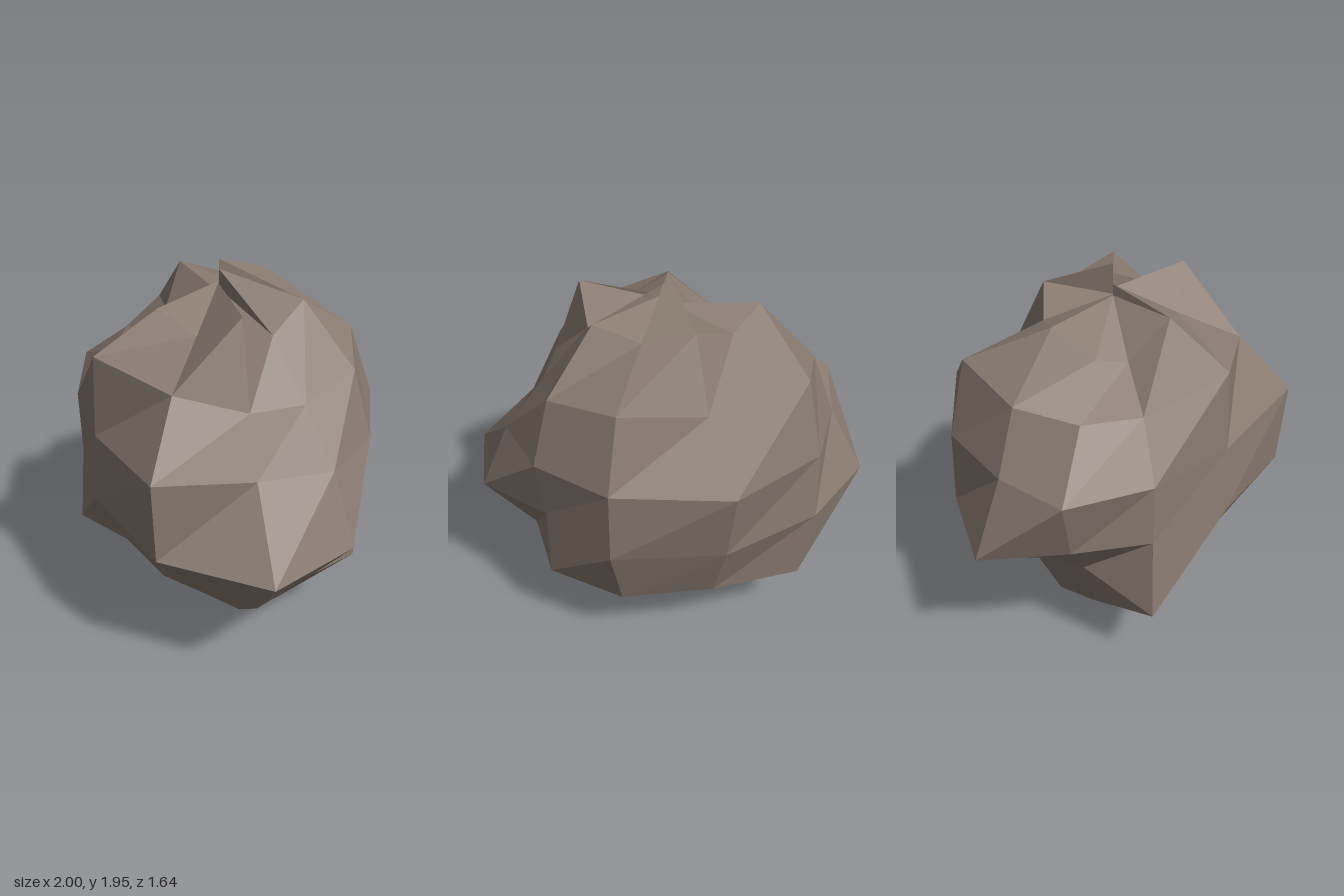
import * as THREE from 'three';

// Radius of each corner, ring by ring from top to bottom; columns run from +x round the back.
// The pole rows keep a separate corner per column, which gives the jagged, stepped tips.
const RADII = [
  [0.95, 1.07, 1.0, 1.13, 0.94, 0.93, 0.93, 0.93, 0.93, 1.0, 0.98],
  [0.91, 1.08, 1.0, 1.07, 0.95, 1.045, 0.81, 0.75, 1.01, 0.9, 1.11],
  [0.81, 0.97, 1.07, 0.87, 1.13, 0.95, 0.82, 0.81, 1.13, 1.015, 0.82],
  [0.86, 0.89, 1.02, 1.16, 1.01, 0.885, 0.99, 0.89, 0.93, 1.17, 0.82],
  [1.015, 0.84, 1.03, 1.04, 1.02, 1.08, 0.865, 0.88, 0.96, 1.13, 1.18],
  [0.94, 1.05, 1.08, 1.06, 1.17, 0.81, 0.8, 1.15, 0.93, 0.97, 1.06],
  [1.07, 1.1, 0.84, 1.04, 0.98, 1.03, 1.04, 1.04, 1.06, 1.02, 1.09],
  [1.07, 1.07, 1.05, 0.96, 0.95, 0.97, 0.98, 1.0, 1.02, 1.03, 1.165],
];
const COLUMNS = RADII[0].length;
const BANDS = RADII.length - 1;

// Corner of the squashed, dented sphere, standing on the ground
function corner(ring, column) {
  const r = RADII[ring][column];
  const down = (ring / BANDS) * Math.PI;
  const round = (column / COLUMNS) * Math.PI * 2;
  return [
    0.01 + r * Math.sin(down) * Math.cos(round),
    0.99 + r * Math.cos(down) * 0.85,
    0.03 - r * Math.sin(down) * Math.sin(round) * 0.76,
  ];
}

export function createModel() {
  const group = new THREE.Group();
  group.name = 'boulder';

  const stone = new THREE.MeshStandardMaterial({ color: 0x8a7b70, flatShading: true });
  stone.name = 'grey brown stone';

  // Two facets per cell; at the poles one of them is the upright step between wedges
  const positions = [];
  for (let ring = 0; ring < BANDS; ring++) {
    for (let column = 0; column < COLUMNS; column++) {
      const next = (column + 1) % COLUMNS;
      const a = corner(ring, next);
      const b = corner(ring, column);
      const c = corner(ring + 1, column);
      const d = corner(ring + 1, next);
      positions.push(...a, ...b, ...c, ...a, ...c, ...d);
    }
  }
  const facets = new THREE.BufferGeometry();
  facets.setAttribute('position', new THREE.Float32BufferAttribute(positions, 3));
  facets.computeVertexNormals();

  const rock = new THREE.Mesh(facets, stone);
  rock.name = 'rock';
  group.add(rock);
  return group;
}
